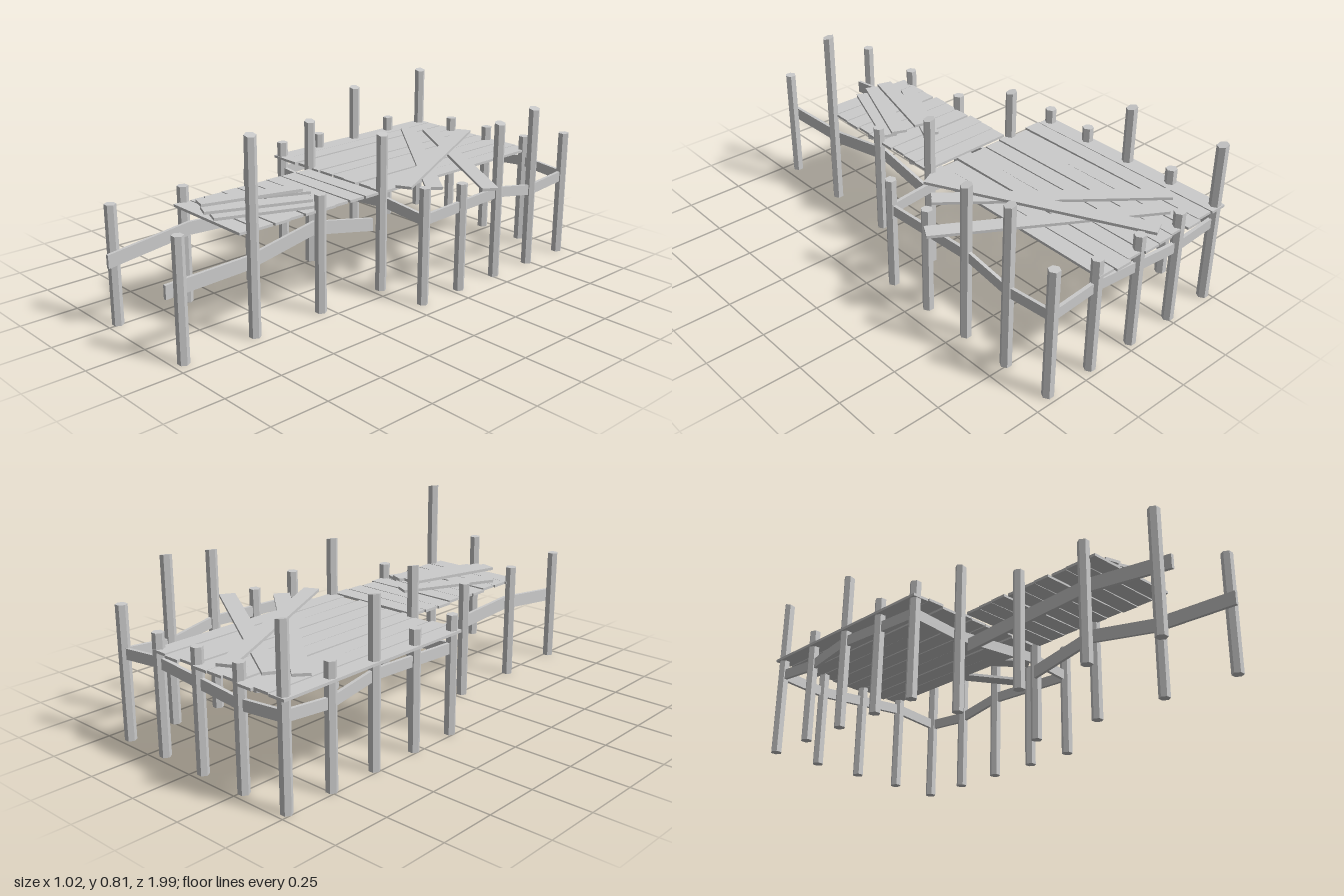
import * as THREE from 'three';

const mat = new THREE.MeshStandardMaterial({ color: 0xcccccc, flatShading: true });

export function createModel() {
  const root = new THREE.Group();
  const group = (name) => {
    const g = new THREE.Group();
    g.name = name;
    root.add(g);
    return g;
  };
  const posts = group('posts');
  const rails = group('rails');
  const platform = group('platformDeck');
  const walkway = group('walkwayDeck');
  const loose = group('loosePlanks');

  const add = (parent, geo, name) => {
    const m = new THREE.Mesh(geo, mat);
    m.name = name;
    parent.add(m);
    return m;
  };

  // Six-sided post; tall ones have a slanted cut at the top
  function post(x, z, h) {
    const geo = new THREE.CylinderGeometry(0.024, 0.024, h, 6);
    geo.rotateY(Math.PI / 6);
    geo.translate(0, h / 2, 0);
    const p = geo.attributes.position;
    if (h > 0.6) {
      for (let i = 0; i < p.count; i++) {
        if (p.getY(i) > h / 2) p.setY(i, h - 0.006 - p.getX(i) * 0.2 - p.getZ(i) * 0.1);
      }
    }
    add(posts, geo, 'post').position.set(x, 0, z);
  }

  // Platform side posts, front to back
  const sideZ = [-0.07, -0.29, -0.515, -0.74, -0.96];
  const leftHeights = [0.5, 0.47, 0.69, 0.715, 0.56];
  const rightHeights = [0.5, 0.5, 0.69, 0.5, 0.71];
  sideZ.forEach((z, i) => {
    post(0.41, z, leftHeights[i]);
    post(-0.48, z, rightHeights[i]);
  });
  // Back row
  for (const x of [-0.26, -0.035, 0.19]) post(x, -0.96, 0.5);
  // Walkway posts
  [[-0.045, 0.685, 0.652], [0.29, 0.5, 0.5], [0.625, 0.808, 0.5], [0.955, 0.5, 0.5]]
    .forEach(([z, hl, hr]) => {
      post(0.19, z, hl);
      post(-0.26, z, hr);
    });

  // Bent board: points are [distance along, centre height], extruded to thickness
  function rail(points, height, thick, name) {
    const s = new THREE.Shape();
    points.forEach(([u, y], i) => (i ? s.lineTo(u, y + height / 2) : s.moveTo(u, y + height / 2)));
    [...points].reverse().forEach(([u, y]) => s.lineTo(u, y - height / 2));
    s.closePath();
    const geo = new THREE.ExtrudeGeometry(s, { depth: thick, bevelEnabled: false });
    geo.translate(0, 0, -thick / 2);
    return add(rails, geo, name);
  }

  // Cross rails at the front and back of the platform
  for (const z of [-0.07, -0.96]) {
    rail([[-0.48, 0.362], [-0.26, 0.343], [0.19, 0.382], [0.41, 0.362]], 0.045, 0.015, 'crossRail')
      .position.z = z;
  }
  // Lengthwise rails: distance runs along -z
  const along = (x, pts, h, name) => {
    const r = rail(pts.map(([z, y]) => [-z, y]), h, 0.014, name);
    r.rotation.y = Math.PI / 2;
    r.position.x = x;
  };
  for (const x of [0.41, -0.48]) {
    along(x, [[-0.07, 0.364], [-0.515, 0.382], [-0.74, 0.343], [-0.96, 0.362]], 0.045, 'sideRail');
  }
  along(0.158, [[1, 0.284], [0.625, 0.295], [0.3, 0.354], [-0.02, 0.29]], 0.056, 'walkwayRail');
  along(-0.23, [[1, 0.284], [0.625, 0.328], [0.3, 0.31], [-0.02, 0.29]], 0.056, 'walkwayRail');

  // Plank laid from a to b ([x, z])
  function plank(parent, a, b, width, y, name, thick = 0.011) {
    const dx = b[0] - a[0], dz = b[1] - a[1];
    const m = add(parent, new THREE.BoxGeometry(width, thick, Math.hypot(dx, dz)), name);
    m.position.set((a[0] + b[0]) / 2, y, (a[1] + b[1]) / 2);
    m.rotation.y = Math.atan2(dx, dz);
  }

  // Platform planks, slightly uneven
  for (let i = 0; i < 9; i++) {
    const x = -0.471 + i * 0.079;
    const j = Math.sin(i * 2.4) * 0.007;
    plank(platform, [x + j * 0.4, -0.985 + j], [x - j * 0.4, -0.045 + j], 0.074, 0.431 + j * 0.2, 'deckPlank');
  }
  // Walkway planks
  for (let i = 0; i < 9; i++) {
    const z = 0.012 + i * 0.0785;
    const j = Math.sin(i * 2.1 + 1) * 0.006;
    plank(walkway, [-0.248 + j, z + j * 0.4], [0.187 + j, z - j * 0.4], 0.073, 0.43 + j * 0.2, 'walkwayPlank');
  }

  // Planks left lying on top
  [
    [[-0.405, -0.805], [0.325, -0.215], 0.07, 0.443],
    [[-0.315, -0.862], [0.49, -0.375], 0.068, 0.443],
    [[-0.165, -0.945], [0.255, -0.105], 0.068, 0.455],
    [[-0.005, 0.18], [-0.19, 0.565], 0.066, 0.443],
    [[0.0, 0.235], [-0.118, 0.65], 0.066, 0.467],
    [[0.1, 0.265], [-0.065, 0.67], 0.066, 0.455],
    [[0.138, 0.285], [-0.01, 0.665], 0.066, 0.443],
  ].forEach(([a, b, w, y]) => plank(loose, a, b, w, y, 'loosePlank', 0.012));

  return root;
}
